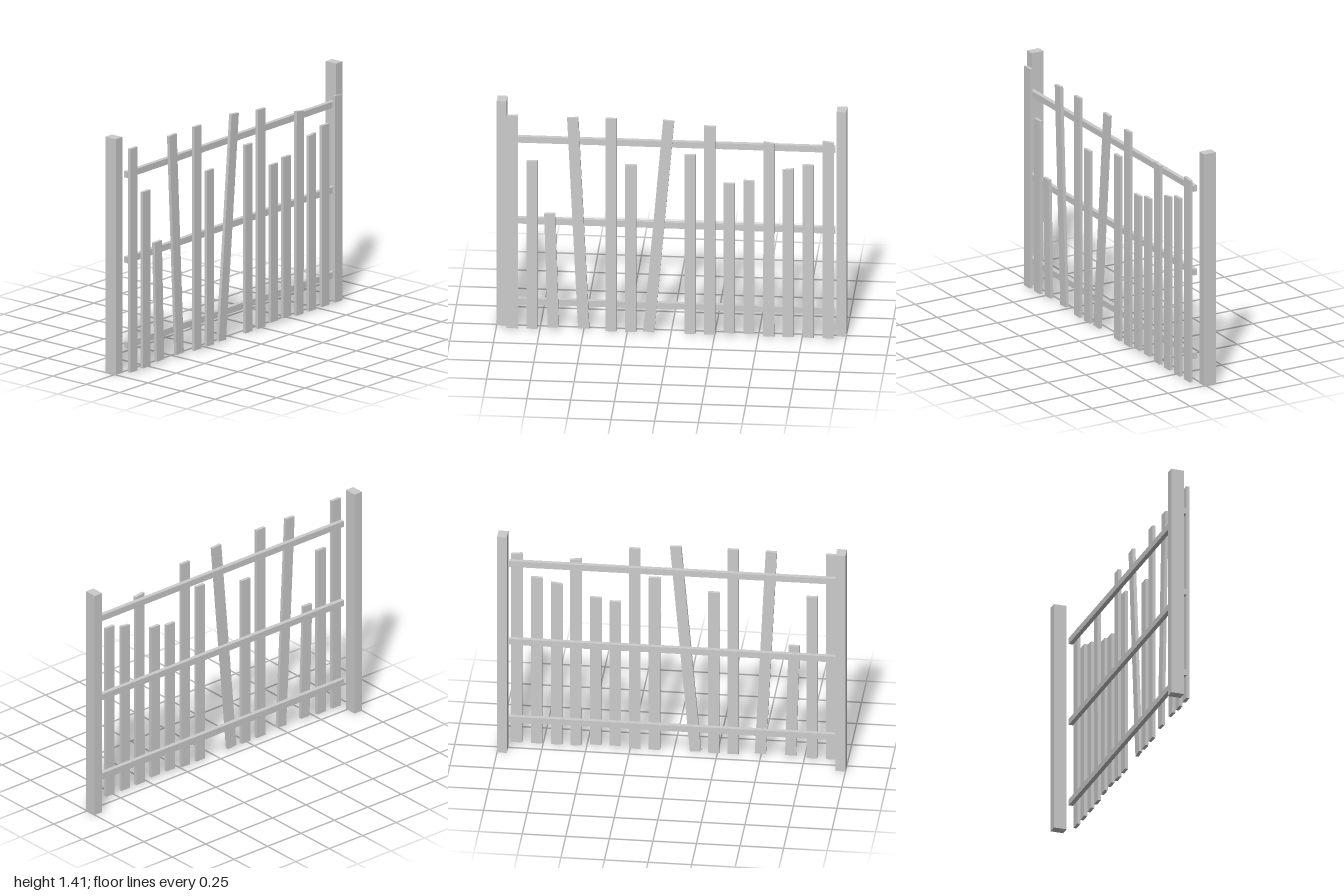
import * as THREE from 'three';

const material = new THREE.MeshStandardMaterial({ color: 0xcccccc, flatShading: true });

function addBox(parent, name, size, position) {
  const mesh = new THREE.Mesh(new THREE.BoxGeometry(...size), material);
  mesh.name = name;
  mesh.position.set(...position);
  parent.add(mesh);
  return mesh;
}

// Board running from its bottom centre to its top centre; slant tips the sawn top edge
function addPicket(parent, [x0, y0, x1, y1, slant = 0]) {
  const dx = x1 - x0, dy = y1 - y0;
  const length = Math.hypot(dx, dy);
  const mesh = addBox(parent, 'picket', [0.064, length, 0.019],
    [(x0 + x1) / 2, (y0 + y1) / 2, 0.0575]);
  const pos = mesh.geometry.attributes.position;
  for (let i = 0; i < pos.count; i++) {
    if (pos.getY(i) > 0) pos.setY(i, pos.getY(i) + Math.sign(pos.getX(i)) * slant);
  }
  mesh.geometry.computeVertexNormals();
  mesh.rotation.z = -Math.atan2(dx, dy);
}

export function createModel() {
  const fence = new THREE.Group();
  fence.name = 'fence';

  // End posts
  for (const side of [-1, 1]) {
    addBox(fence, side > 0 ? 'leftPost' : 'rightPost', [0.056, 1.406, 0.077],
      [side * 0.972, 0.703, -0.0275]);
  }

  // Horizontal rails
  for (const y of [0.17, 0.677, 1.185]) {
    addBox(fence, 'rail', [1.88, 0.037, 0.026], [0, y, 0.035]);
  }

  // Uneven pickets: bottom x, bottom y, top x, top y, top slant
  const pickets = [
    [-0.906, 0.01, -0.906, 1.342],
    [-0.794, 0.01, -0.794, 1.06],
    [-0.672, 0.022, -0.692, 0.735],
    [-0.498, 0.022, -0.561, 1.34],
    [-0.342, 0.01, -0.342, 1.342],
    [-0.23, 0.01, -0.23, 1.055],
    [-0.126, 0.014, -0.012, 1.34],
    [0.11, 0.01, 0.11, 1.13],
    [0.222, 0.01, 0.222, 1.314],
    [0.334, 0.022, 0.334, 0.96],
    [0.447, 0.022, 0.447, 0.98],
    [0.56, 0.01, 0.563, 1.222, -0.005],
    [0.671, 0.01, 0.671, 1.059, 0.004],
    [0.786, 0.01, 0.786, 1.09],
    [0.901, 0.01, 0.901, 1.238, -0.004],
  ];
  const row = new THREE.Group();
  row.name = 'pickets';
  pickets.forEach((p) => addPicket(row, p));
  fence.add(row);

  return fence;
}
